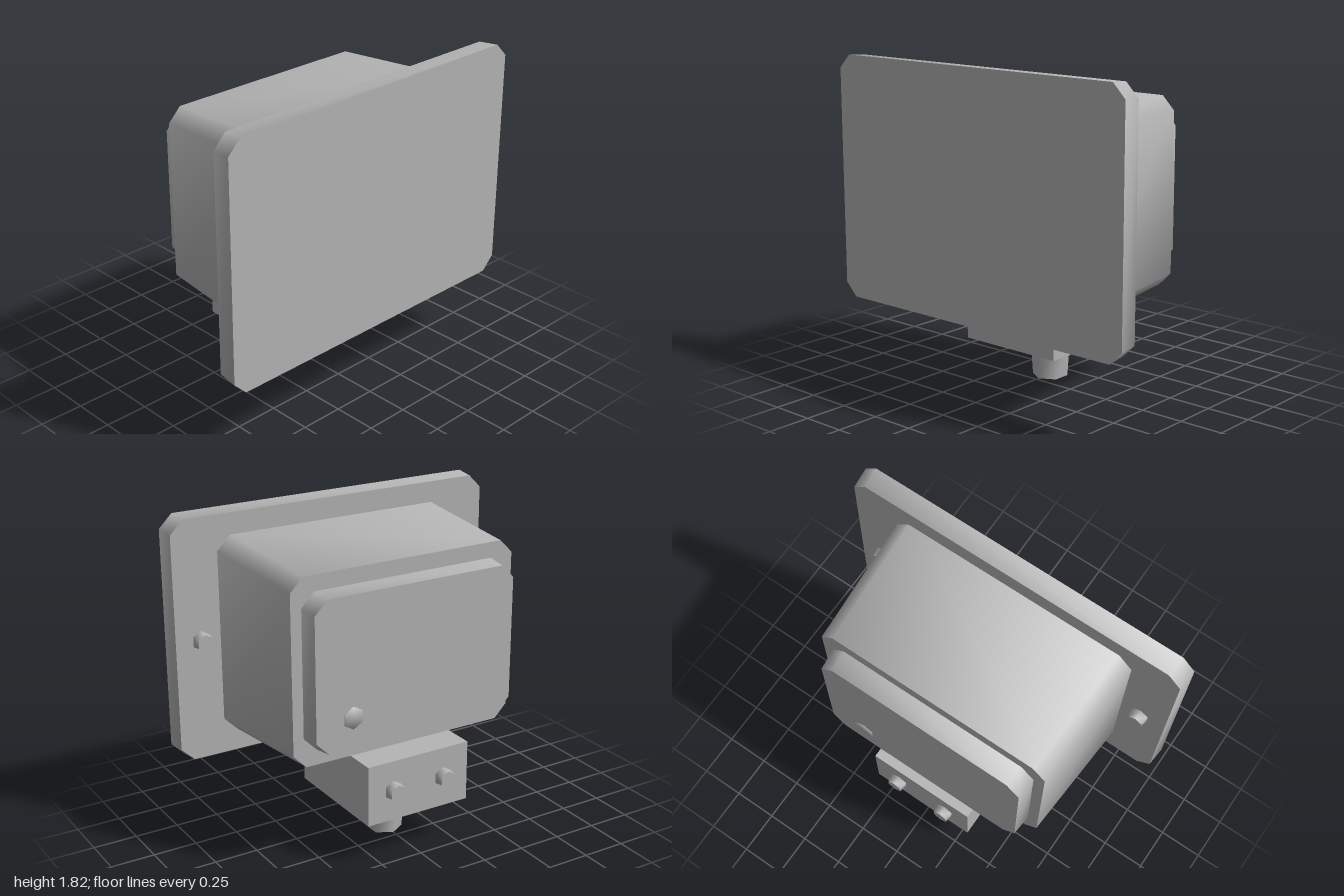
import * as THREE from 'three';
import { toCreasedNormals, mergeVertices } from 'three/addons/utils/BufferGeometryUtils.js';

const CREASE = 1.1; // smooths the corner bevels, keeps the end caps sharp

// Rectangle with cut corners, counter-clockwise seen from +z
function ring({ w, y0, y1, c, z }) {
  return [
    [w - c, y0, z], [w, y0 + c, z], [w, y1 - c, z], [w - c, y1, z],
    [c - w, y1, z], [-w, y1 - c, z], [-w, y0 + c, z], [c - w, y0, z],
  ];
}

// Tapered block between a front and a back cut-corner rectangle
function taperedBlock(front, back) {
  const pts = [...ring(front), ...ring(back)];
  const index = [];
  const n = 8;
  for (let i = 0; i < n; i++) {
    const j = (i + 1) % n;
    index.push(i, n + i, n + j, i, n + j, j);
  }
  for (let i = 1; i < n - 1; i++) {
    index.push(0, i, i + 1, n, n + i + 1, n + i);
  }
  const geo = new THREE.BufferGeometry();
  geo.setAttribute('position', new THREE.Float32BufferAttribute(pts.flat(), 3));
  geo.setIndex(index);
  geo.computeVertexNormals();
  return toCreasedNormals(geo, CREASE);
}

// Six-sided tapered peg
function hexPeg(rTop, rBottom, height) {
  let geo = new THREE.CylinderGeometry(rTop, rBottom, height, 6);
  geo.deleteAttribute('uv');
  geo.deleteAttribute('normal');
  geo = mergeVertices(geo);
  return toCreasedNormals(geo, CREASE);
}

export function createModel() {
  const model = new THREE.Group();
  model.name = 'housing';
  const grey = new THREE.MeshStandardMaterial({ color: 0xb4b4b4 });
  grey.name = 'grey';

  const add = (name, geo, x = 0, y = 0, z = 0) => {
    const mesh = new THREE.Mesh(geo, grey);
    mesh.name = name;
    mesh.position.set(x, y, z);
    model.add(mesh);
    return mesh;
  };

  // Front plate, main body and rear cover, stacked along z
  add('frontPlate', taperedBlock(
    { w: 1, y0: 0.425, y1: 1.815, c: 0.076, z: 0.516 },
    { w: 0.99, y0: 0.433, y1: 1.806, c: 0.076, z: 0.4 }));
  add('body', taperedBlock(
    { w: 0.724, y0: 0.555, y1: 1.684, c: 0.08, z: 0.4 },
    { w: 0.682, y0: 0.6, y1: 1.64, c: 0.076, z: -0.324 }));
  add('rearCover', taperedBlock(
    { w: 0.62, y0: 0.687, y1: 1.552, c: 0.076, z: -0.324 },
    { w: 0.61, y0: 0.698, y1: 1.541, c: 0.076, z: -0.441 }));

  // Mounting block and stem below the body
  add('mountBlock', new THREE.BoxGeometry(0.636, 0.345, 0.693), 0, 0.408, -0.121);
  add('stem', hexPeg(0.116, 0.1, 0.235), 0, 0.1175, -0.12);

  // Bolts pointing backwards from a base plane
  const bolt = (name, x, y, z, r, tip, length) => {
    const mesh = add(name, hexPeg(tip, r, length), x, y, z - length / 2);
    mesh.rotation.x = -Math.PI / 2;
  };
  for (const side of [1, -1]) {
    const label = side > 0 ? 'Left' : 'Right';
    bolt('plateBolt' + label, side * 0.838, 1.12, 0.4, 0.056, 0.048, 0.053);
    bolt('blockBolt' + label, side * 0.16, 0.41, -0.467, 0.056, 0.048, 0.05);
  }
  bolt('coverBolt', 0.39, 0.873, -0.441, 0.064, 0.059, 0.007);

  return model;
}
